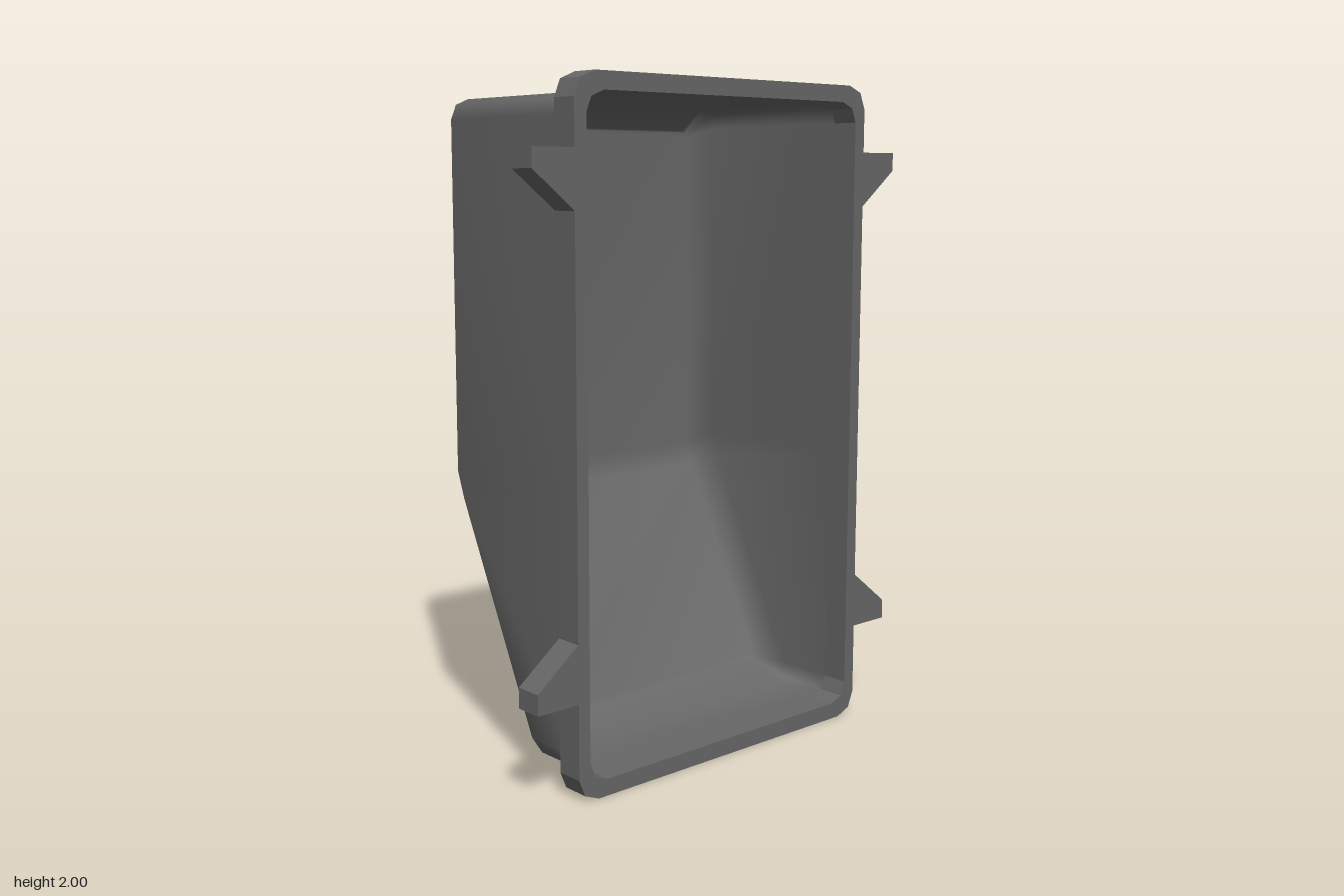
import * as THREE from 'three';

const FRONT = 0.345, FLANGE = 0.26;

const grey = new THREE.MeshStandardMaterial({ color: 0x666666, side: THREE.DoubleSide });
grey.name = 'dark grey';

// Right half of a rounded rectangle, listed from the top edge down to the bottom edge
function halfOutline(w, bottom, top, r, kinks = []) {
  const pts = [];
  for (let i = 0; i <= 2; i++) {
    const a = i * Math.PI / 4;
    pts.push([w - r + r * Math.sin(a), top - r + r * Math.cos(a)]);
  }
  kinks.forEach(y => pts.push([w, y]));
  for (let i = 0; i <= 2; i++) {
    const a = i * Math.PI / 4;
    pts.push([w - r + r * Math.cos(a), bottom + r - r * Math.sin(a)]);
  }
  return pts;
}

function fullOutline(...args) {
  const half = halfOutline(...args);
  return [...half, ...half.map(([x, y]) => [-x, y]).reverse()];
}

const vec2 = pts => pts.map(([x, y]) => new THREE.Vector2(x, y));

// Depth of a side profile at a given height
function depthAt(profile, y) {
  if (y <= profile[0][0]) return profile[0][1];
  for (let i = 1; i < profile.length; i++) {
    const [y0, z0] = profile[i - 1], [y1, z1] = profile[i];
    if (y <= y1) return z0 + (z1 - z0) * (y - y0) / (y1 - y0);
  }
  return profile[profile.length - 1][1];
}

function extrudeFlange(name, shape) {
  const geo = new THREE.ExtrudeGeometry(shape, { depth: FRONT - FLANGE, bevelEnabled: false });
  geo.translate(0, 0, FLANGE);
  const mesh = new THREE.Mesh(geo, grey);
  mesh.name = name;
  return mesh;
}

// Thin smooth tub: rim loop, wall loop, bevelled back loop, then a back panel
function buildShell() {
  const wall = [[0.05, 0.11], [0.12, 0.07], [0.77, -0.25], [0.85, -0.28], [1.95, -0.28]];
  const back = [[0.12, 0.01], [0.75, -0.31], [0.82, -0.343], [1.88, -0.343]];
  const outer = fullOutline(0.53, 0.05, 1.95, 0.06, [0.85, 0.77]);
  const inner = fullOutline(0.46, 0.12, 1.88, 0.02, [0.82, 0.75]);
  const rings = [
    outer.map(([x, y]) => [x, y, FLANGE]),
    outer.map(([x, y]) => [x, y, depthAt(wall, y)]),
    inner.map(([x, y]) => [x, y, depthAt(back, y)]),
  ];
  const n = outer.length, index = [];
  const quad = (a, b, c, d) => index.push(a, b, c, a, c, d);
  for (let r = 0; r < 2; r++) {
    for (let i = 0; i < n; i++) {
      const j = (i + 1) % n;
      quad(r * n + i, r * n + j, (r + 1) * n + j, (r + 1) * n + i);
    }
  }
  const o = 2 * n;
  for (let i = 0; i < n / 2 - 1; i++) quad(o + i, o + i + 1, o + n - 2 - i, o + n - 1 - i);

  const geo = new THREE.BufferGeometry();
  geo.setAttribute('position', new THREE.Float32BufferAttribute(rings.flat(2), 3));
  geo.setIndex(index);
  geo.computeVertexNormals();
  const mesh = new THREE.Mesh(geo, grey);
  mesh.name = 'shell';
  return mesh;
}

export function createModel() {
  const group = new THREE.Group();
  group.name = 'housing';
  group.add(buildShell());

  // Rim frame around the open front
  const frame = new THREE.Shape(vec2(fullOutline(0.57, 0, 2, 0.07)));
  frame.holes.push(new THREE.Path(vec2(fullOutline(0.53, 0.05, 1.95, 0.06))));
  group.add(extrudeFlange('rimFrame', frame));

  // Four tapered mounting tabs
  const tabs = {
    upper: [[0.57, 1.8], [0.71, 1.8], [0.71, 1.745], [0.57, 1.635]],
    lower: [[0.57, 0.29], [0.71, 0.29], [0.71, 0.35], [0.57, 0.46]],
  };
  for (const [side, s] of [['Left', 1], ['Right', -1]]) {
    for (const [level, pts] of Object.entries(tabs)) {
      const shape = new THREE.Shape(vec2(pts.map(([x, y]) => [s * x, y])));
      group.add(extrudeFlange(level + side + 'Tab', shape));
    }
  }
  return group;
}
